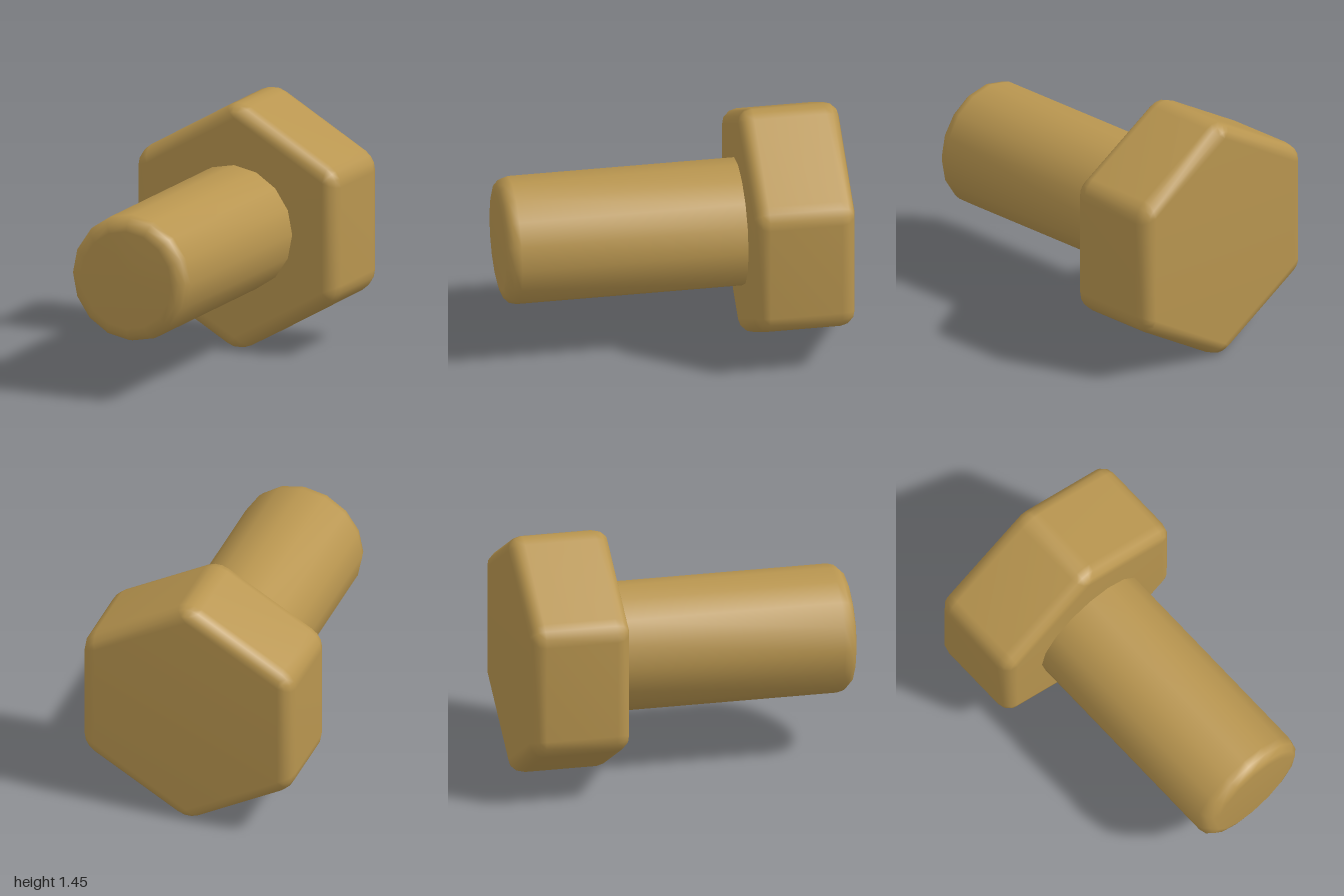
import * as THREE from 'three';
import { mergeVertices } from 'three/addons/utils/BufferGeometryUtils.js';

const BEVEL = 0.085; // edge rounding
const STEPS = 3; // segments per rounded edge
const AXIS_Y = 0.7275;

// Hexagon with flats at +-x and rounded corners, counterclockwise
function hexOutline(apothem, radius) {
  const points = [];
  const reach = (apothem - radius) / Math.cos(Math.PI / 6);
  for (let k = 0; k < 6; k++) {
    const corner = Math.PI / 2 + (k * Math.PI) / 3;
    for (let s = 0; s <= STEPS; s++) {
      const a = corner + (s / STEPS - 0.5) * (Math.PI / 3);
      points.push([
        reach * Math.cos(corner) + radius * Math.cos(a),
        reach * Math.sin(corner) + radius * Math.sin(a),
      ]);
    }
  }
  return points;
}

function circleOutline(radius, sides = 16) {
  return Array.from({ length: sides }, (_, i) => {
    const a = (i / sides) * Math.PI * 2;
    return [radius * Math.cos(a), radius * Math.sin(a)];
  });
}

// Skin rings ordered from back to front, with flat end caps
function loft(rings, capBack) {
  const n = rings[0].outline.length;
  const positions = [];
  const index = [];
  for (const { outline, z } of rings) {
    for (const [x, y] of outline) positions.push(x, y, z);
  }
  const back = positions.length / 3;
  positions.push(0, 0, rings[0].z, 0, 0, rings[rings.length - 1].z);
  const last = (rings.length - 1) * n;
  for (let i = 0; i < n; i++) {
    const j = (i + 1) % n;
    for (let k = 0; k < last; k += n) {
      index.push(k + i, k + j, k + n + j, k + i, k + n + j, k + n + i);
    }
    if (capBack) index.push(back, j, i);
    index.push(back + 1, last + i, last + j);
  }
  let geometry = new THREE.BufferGeometry();
  geometry.setAttribute('position', new THREE.Float32BufferAttribute(positions, 3));
  geometry.setIndex(index);
  geometry = mergeVertices(geometry, 1e-5);
  geometry.computeVertexNormals();
  return geometry;
}

// Rings of a rounded front edge; makeOutline gets the inset and the fullness (0..1)
function frontEdge(zFront, makeOutline) {
  return Array.from({ length: STEPS + 1 }, (_, s) => {
    const t = ((s / STEPS) * Math.PI) / 2;
    return {
      outline: makeOutline(BEVEL * (1 - Math.cos(t)), Math.cos(t)),
      z: zFront - BEVEL * (1 - Math.sin(t)),
    };
  });
}

export function createModel() {
  const model = new THREE.Group();
  model.name = 'bolt';
  const brass = new THREE.MeshStandardMaterial({ color: 0xb8954f });
  brass.name = 'brass';

  // Hexagonal head, rounded on both faces
  const headFront = -0.41;
  const headBack = -1;
  const front = frontEdge(headFront, (inset, full) => hexOutline(0.65 - inset, 0.143 * full));
  const rear = front
    .map(({ outline, z }) => ({ outline, z: headBack + headFront - z }))
    .reverse();
  const head = new THREE.Mesh(loft([...rear, ...front], true), brass);
  head.name = 'hexHead';

  // Round shank, rooted inside the head
  const shankRings = [
    { outline: circleOutline(0.375), z: headFront - 0.04 },
    ...frontEdge(1, (inset) => circleOutline(0.375 - inset)),
  ];
  const shank = new THREE.Mesh(loft(shankRings, false), brass);
  shank.name = 'shank';

  for (const part of [head, shank]) {
    part.position.y = AXIS_Y;
    model.add(part);
  }
  return model;
}
